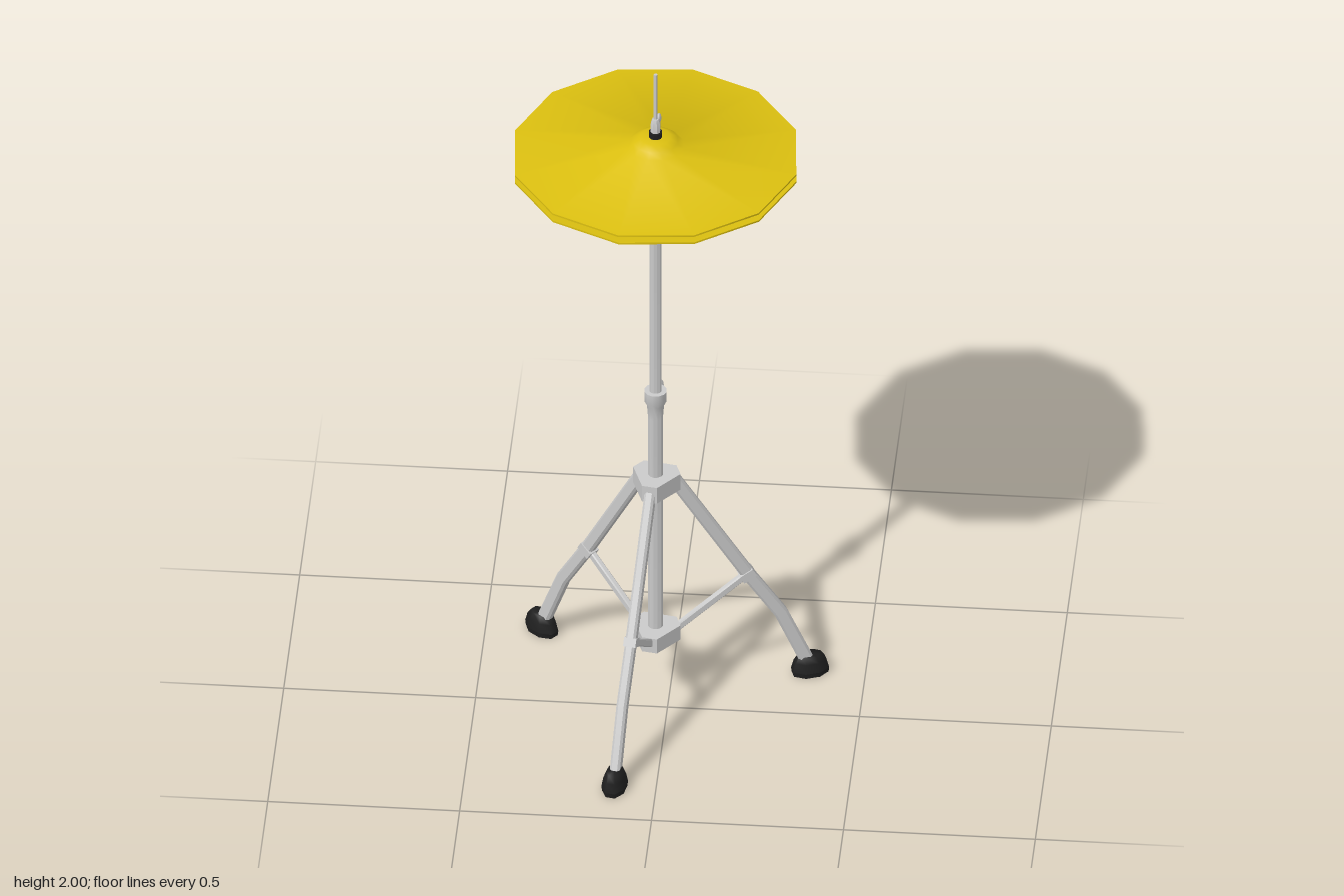
import * as THREE from 'three';
import { toCreasedNormals } from 'three/addons/utils/BufferGeometryUtils.js';

const metal = new THREE.MeshStandardMaterial({ color: 0xcccccc });
const rubber = new THREE.MeshStandardMaterial({ color: 0x1f1f1f });
const brass = new THREE.MeshStandardMaterial({ color: 0xdcc010 });

function part(name, geometry, material, crease = 0.7) {
  const mesh = new THREE.Mesh(toCreasedNormals(geometry, crease), material);
  mesh.name = name;
  return mesh;
}

// Turned solid from [radius, height] pairs, listed bottom to top
function turned(name, profile, material, sides = 12, crease = 0.7) {
  const points = profile.map(([r, y]) => new THREE.Vector2(r, y));
  return part(name, new THREE.LatheGeometry(points, sides), material, crease);
}

function rod(r, y0, y1) {
  return [[0, y0], [r, y0], [r, y1], [0, y1]];
}

// Flat polygon in the radius/height plane, extruded sideways with chamfered edges
function plate(name, corners, width, chamfer) {
  const shape = new THREE.Shape(corners.map(([x, y]) => new THREE.Vector2(x, y)));
  const geometry = new THREE.ExtrudeGeometry(shape, {
    depth: width - 2 * chamfer, bevelEnabled: true, bevelSegments: 1,
    bevelSize: chamfer, bevelThickness: chamfer, bevelOffset: -chamfer,
  });
  geometry.translate(0, 0, chamfer - width / 2);
  return part(name, geometry, metal);
}

// Three-cornered bracket around the column
function hub(name, y, height) {
  const shape = new THREE.Shape();
  const reach = 0.062, half = 0.02;
  for (let i = 0; i < 3; i++) {
    const a = (i * Math.PI * 2) / 3;
    for (const s of [-half, half]) {
      const x = reach * Math.cos(a) - s * Math.sin(a);
      const v = reach * Math.sin(a) + s * Math.cos(a);
      if (i === 0 && s < 0) shape.moveTo(x, v);
      else shape.lineTo(x, v);
    }
  }
  const geometry = new THREE.ExtrudeGeometry(shape, { depth: height, bevelEnabled: false });
  geometry.rotateX(-Math.PI / 2).translate(0, y, 0);
  return part(name, geometry, metal);
}

function makeLeg() {
  const leg = new THREE.Group();
  leg.name = 'leg';

  // Bent leg tube
  leg.add(plate('legTube', [
    [0.035, 0.682], [0.235, 0.337], [0.32, 0.202], [0.392, 0.03],
    [0.428, 0.04], [0.352, 0.218], [0.266, 0.354], [0.065, 0.7],
  ], 0.027, 0.006));

  // Brace from the lower bracket to the bend of the leg
  leg.add(plate('brace', [
    [0.045, 0.2], [0.058, 0.2], [0.245, 0.335], [0.238, 0.352], [0.228, 0.348], [0.045, 0.216],
  ], 0.016, 0.003));

  // Clip that holds the brace on the leg
  const clip = part('braceClip', new THREE.BoxGeometry(0.04, 0.024, 0.033), metal);
  clip.position.set(0.246, 0.349, 0);
  clip.rotation.z = -1.04 + Math.PI / 2;
  leg.add(clip);

  // Rubber foot, an elongated octagon narrowing upwards
  const foot = turned('foot', [
    [0, 0], [0.96, 0], [1, 0.014], [0.86, 0.04], [0.62, 0.057], [0, 0.057],
  ], rubber, 8, 0.3);
  foot.geometry.rotateY(Math.PI / 8);
  foot.geometry.scale(0.052, 1, 0.033);
  foot.position.x = 0.416;
  leg.add(foot);
  return leg;
}

// Screw with a flattened grip, pointing along +x
function makeKnob(name, y, start, end, size) {
  const knob = new THREE.Group();
  knob.name = name;
  const stem = part('knobStem', new THREE.CylinderGeometry(0.006, 0.006, end - start, 8), metal);
  stem.rotation.z = Math.PI / 2;
  stem.position.x = (start + end) / 2;
  const grip = part('knobGrip', new THREE.SphereGeometry(1, 10, 8), metal);
  grip.scale.set(size, size * 1.25, size * 0.55);
  grip.position.x = end;
  knob.add(stem, grip);
  knob.position.y = y;
  const holder = new THREE.Group();
  holder.add(knob);
  holder.rotation.y = Math.PI / 3;
  return holder;
}

export function createModel() {
  const model = new THREE.Group();
  model.name = 'hiHatStand';
  const stand = new THREE.Group();
  stand.name = 'stand';
  stand.position.set(-0.035, 0, -0.045);
  stand.rotation.y = THREE.MathUtils.degToRad(20);
  model.add(stand);

  // Tripod
  for (let i = 0; i < 3; i++) {
    const leg = makeLeg();
    leg.rotation.y = (i * Math.PI * 2) / 3;
    stand.add(leg);
  }
  stand.add(hub('upperBracket', 0.667, 0.05), hub('lowerBracket', 0.185, 0.045));

  // Column
  stand.add(turned('lowerTube', [
    [0, 0.175], [0.02, 0.175], [0.02, 0.9], [0.023, 0.94], [0.03, 0.955], [0.03, 0.985], [0, 0.985],
  ], metal));
  stand.add(turned('upperTube', rod(0.0165, 0.97, 1.62), metal));
  stand.add(turned('pullRod', rod(0.005, 1.6, 2), metal, 8));
  stand.add(makeKnob('heightKnob', 0.963, 0.02, 0.052, 0.014));

  // Cup under the lower cymbal
  stand.add(turned('cymbalSeat', [
    [0, 1.588], [0.022, 1.588], [0.022, 1.622], [0.042, 1.645], [0.042, 1.668], [0.025, 1.676], [0, 1.676],
  ], rubber));

  // Pair of thin cymbals, the lower one the reverse of the upper
  const upper = [
    [0.005, 1.796], [0.038, 1.795], [0.058, 1.785], [0.075, 1.77], [0.378, 1.744],
    [0.378, 1.749], [0.075, 1.776], [0.06, 1.79], [0.04, 1.801], [0.005, 1.802],
  ];
  const middle = 1.735;
  const lower = upper.map(([r, y]) => [r, 2 * middle - y]).reverse();
  stand.add(turned('upperCymbal', upper, brass), turned('lowerCymbal', lower, brass));

  // Clutch above the upper cymbal
  stand.add(turned('felt', rod(0.018, 1.796, 1.817), rubber));
  stand.add(turned('clutch', [
    [0, 1.815], [0.013, 1.815], [0.013, 1.845], [0.009, 1.858], [0, 1.858],
  ], metal, 8));
  stand.add(makeKnob('clutchKnob', 1.836, 0.008, 0.033, 0.012));
  return model;
}
